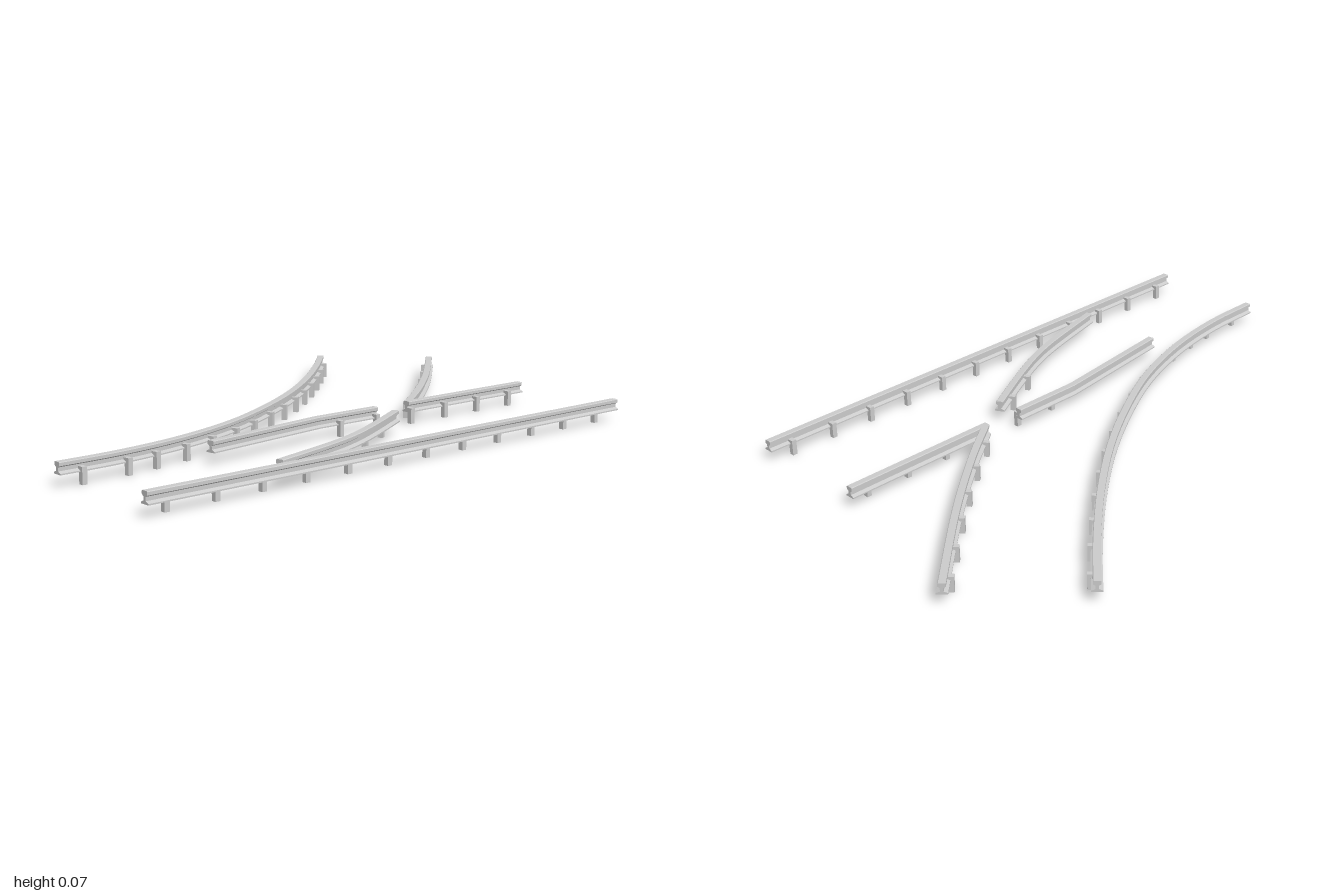
import * as THREE from 'three';

const steel = new THREE.MeshStandardMaterial({ color: 0xcccccc, flatShading: true });

// Right half of the rail section (offset, height), foot to head; mirrored for the left half
const half = [[0.0165, 0.035], [0.0165, 0.039], [0.005, 0.044], [0.005, 0.055], [0.0115, 0.059], [0.0115, 0.068], [0.0095, 0.07]];
const profile = [...half, ...half.slice().reverse().map(([u, y]) => [-u, y])];

// Unit direction of the path at point i, averaged over its neighbours
function direction(pts, i) {
  const d = new THREE.Vector2();
  if (i > 0) d.add(pts[i].clone().sub(pts[i - 1]).normalize());
  if (i < pts.length - 1) d.add(pts[i + 1].clone().sub(pts[i]).normalize());
  return d.normalize();
}

// Sweep the section along a ground path of (x, z) points
function railGeometry(pts) {
  const rings = pts.map((p, i) => {
    const d = direction(pts, i);
    return profile.map(([u, y]) => [p.x - d.y * u, y, p.y + d.x * u]);
  });
  const pos = [];
  const tri = (a, b, c) => pos.push(...a, ...b, ...c);
  const n = profile.length;
  for (let r = 0; r < rings.length - 1; r++) {
    for (let i = 0; i < n; i++) {
      const j = (i + 1) % n;
      const a = rings[r][i], b = rings[r][j], c = rings[r + 1][j], d = rings[r + 1][i];
      tri(a, d, c);
      tri(a, c, b);
    }
  }
  // End caps
  const first = rings[0], last = rings[rings.length - 1];
  const faces = THREE.ShapeUtils.triangulateShape(profile.map(([u, y]) => new THREE.Vector2(u, y)), []);
  for (const [a, b, c] of faces) {
    tri(first[a], first[b], first[c]);
    tri(last[a], last[c], last[b]);
  }
  const g = new THREE.BufferGeometry();
  g.setAttribute('position', new THREE.Float32BufferAttribute(pos, 3));
  g.computeVertexNormals();
  return g;
}

// Spike with a post beside the foot and a hooked head lapping over it
const postGeometry = new THREE.BoxGeometry(0.016, 0.04, 0.016).translate(0, 0.02, 0);
const headGeometry = new THREE.BoxGeometry(0.022, 0.01, 0.016).translate(-0.003, 0.045, 0);

function makeSpike(pts, z, side) {
  let i = 0;
  while (i < pts.length - 2 && pts[i + 1].y > z) i++;
  const a = pts[i], b = pts[i + 1];
  const p = a.clone().lerp(b, (z - a.y) / (b.y - a.y));
  const d = b.clone().sub(a).normalize();
  const nx = -d.y * side, nz = d.x * side;
  const spike = new THREE.Group();
  spike.name = 'spike';
  for (const [name, geo] of [['spikePost', postGeometry], ['spikeHead', headGeometry]]) {
    const m = new THREE.Mesh(geo, steel);
    m.name = name;
    spike.add(m);
  }
  spike.position.set(p.x + nx * 0.018, 0, p.y + nz * 0.018);
  spike.rotation.y = Math.atan2(-nz, nx);
  return spike;
}

// Paths run from front to back; side is +1 for spikes on the +x side
const straightSpikes = [0.925, 0.765, 0.61, 0.458, 0.305, 0.152, 0, -0.152, -0.305, -0.458, -0.61, -0.765];
const rails = [
  { name: 'straightStockRail', path: [[0.629, 1], [0.629, -0.843]], side: -1, spikes: straightSpikes },
  { name: 'straightFrogRail', path: [[0.225, -0.3], [0.225, -0.843]], side: 1, spikes: straightSpikes.slice(8) },
  { name: 'straightSwitchBlade', path: [[0.283, 0.532], [0.225, 0.08], [0.225, -0.165]], side: 1, spikes: [0, -0.152] },
  {
    name: 'curvedStockRail', curved: true, side: 1,
    path: [[0.225, 1], [0.219, 0.79], [0.181, 0.557], [0.103, 0.316], [-0.014, 0.085], [-0.152, -0.135],
      [-0.313, -0.345], [-0.491, -0.547], [-0.635, -0.695]],
    spikes: [0.93, 0.78, 0.677, 0.557, 0.437, 0.316, 0.206, 0.085, -0.025, -0.135, -0.24, -0.345, -0.447, -0.547, -0.647],
  },
  {
    name: 'curvedSwitchBlade', curved: true, side: -1,
    path: [[0.587, 0.532], [0.522, 0.288], [0.473, 0.15], [0.402, 0.004], [0.306, -0.172]],
    spikes: [0.04, -0.095],
  },
  {
    name: 'curvedFrogRail', curved: true, side: -1,
    path: [[0.22, -0.312], [0.09, -0.489], [-0.1, -0.718], [-0.347, -0.985]],
    spikes: [-0.368, -0.489, -0.606, -0.718, -0.829, -0.935],
  },
];

export function createModel() {
  const model = new THREE.Group();
  model.name = 'railTurnout';
  for (const { name, path, curved, side, spikes } of rails) {
    let pts = path.map(([x, z]) => new THREE.Vector2(x, z));
    if (curved) pts = new THREE.SplineCurve(pts).getPoints(32);
    const group = new THREE.Group();
    group.name = name;
    const rail = new THREE.Mesh(railGeometry(pts), steel);
    rail.name = name + 'Beam';
    group.add(rail, ...spikes.map((z) => makeSpike(pts, z, side)));
    model.add(group);
  }
  return model;
}
